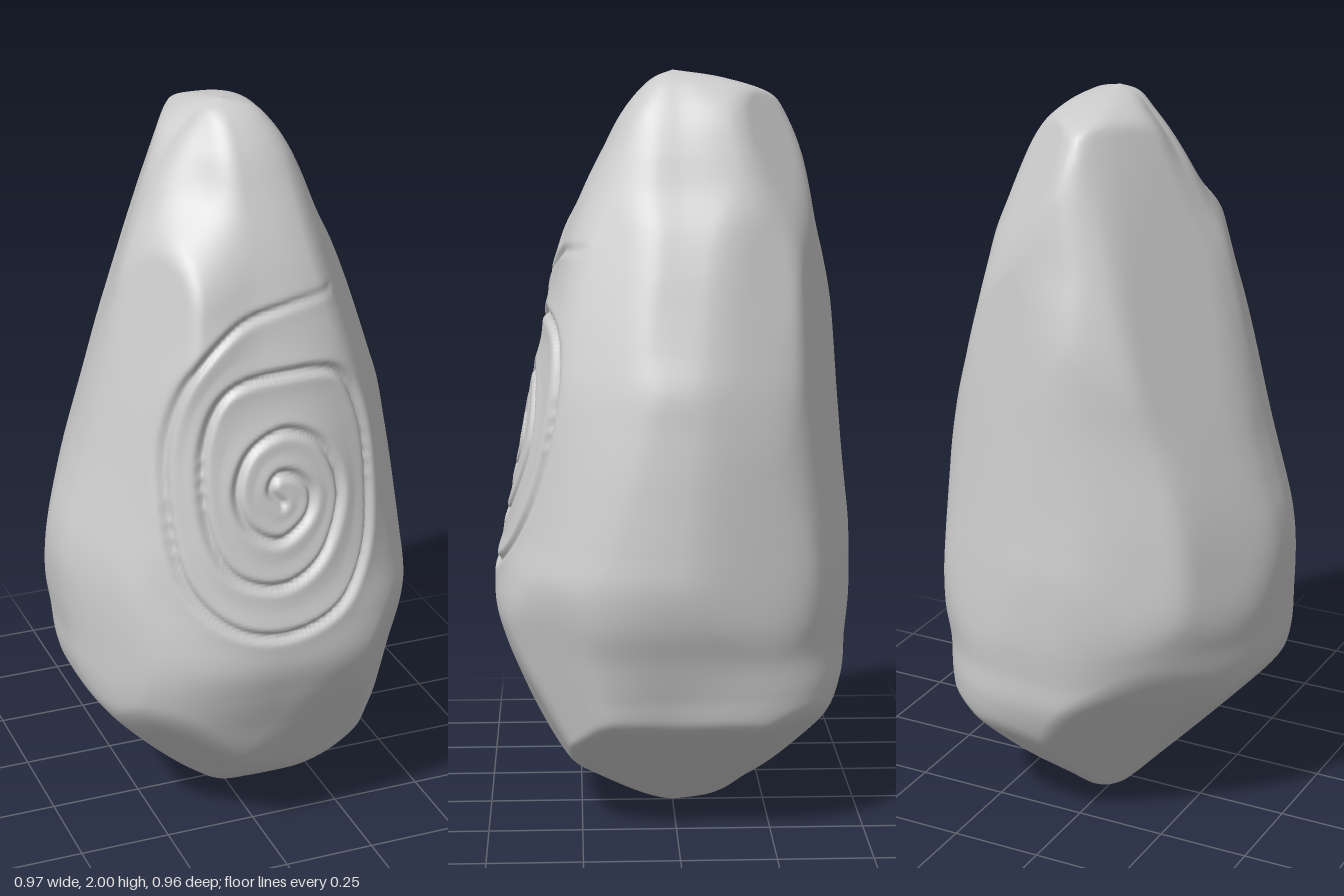
import * as THREE from 'three';

// Stone sections: y, left extent (-x), right extent (+x), back (-z), front (+z)
const SECTIONS = [
  [0, 0, 0, 0, 0], [0.03, 0.06, 0.06, 0.13, 0.08], [0.1, 0.13, 0.14, 0.22, 0.19],
  [0.2, 0.23, 0.26, 0.34, 0.32], [0.29, 0.32, 0.365, 0.41, 0.38], [0.4, 0.42, 0.4, 0.455, 0.42],
  [0.5, 0.46, 0.43, 0.465, 0.455], [0.6, 0.47, 0.465, 0.475, 0.48], [0.7, 0.482, 0.482, 0.477, 0.472],
  [0.8, 0.485, 0.477, 0.475, 0.45], [0.9, 0.47, 0.468, 0.465, 0.43], [1.0, 0.44, 0.458, 0.455, 0.41],
  [1.1, 0.41, 0.445, 0.447, 0.392], [1.2, 0.385, 0.43, 0.44, 0.372], [1.3, 0.36, 0.395, 0.434, 0.35],
  [1.4, 0.335, 0.362, 0.425, 0.328], [1.5, 0.31, 0.33, 0.405, 0.3], [1.6, 0.285, 0.292, 0.38, 0.272],
  [1.7, 0.24, 0.242, 0.36, 0.232], [1.8, 0.192, 0.203, 0.337, 0.182], [1.88, 0.14, 0.165, 0.305, 0.14],
  [1.94, 0.09, 0.125, 0.255, 0.095], [1.98, 0.05, 0.08, 0.13, 0.05], [2, 0, 0, 0, 0],
];
const sectionSpline = new THREE.CubicInterpolant(
  SECTIONS.map((_, i) => i), SECTIONS.flat(), 5, new Float32Array(5));

// Bulges and hollows between the axes: y, then front +x, back +x, back -x, front -x
const BULGES = [
  [0, 0, 0, 0, 0], [0.1, 0.05, 0.03, -0.01, 0.01], [0.2, 0.08, 0.05, -0.045, 0.02],
  [0.35, 0.07, 0.05, -0.06, 0.03], [0.5, 0.04, 0.02, -0.035, 0.02], [0.75, 0.015, 0, 0.01, 0],
  [1.25, 0.005, -0.005, 0, 0.01], [1.55, 0, 0.015, 0.02, 0.035], [1.78, 0, 0.01, 0.025, -0.045],
  [1.9, 0, 0.015, 0.05, -0.03], [2, 0, 0, 0, 0],
];
const bulgeSpline = new THREE.CubicInterpolant(
  BULGES.map(b => b[0]), BULGES.flatMap(b => b.slice(1)), 4, new Float32Array(4));

// Worn facets: azimuth in degrees from the front, height, upward tilt, cut depth
const FACETS = [
  [50, 0.46, -0.25, 0.022], [14, 0.38, -0.5, 0.012], [-40, 0.36, -0.8, 0.025], [90, 0.17, -1.2, 0.008],
  [130, 0.22, -1, 0.01], [170, 0.2, -1, 0.012], [-95, 0.28, -0.9, 0.012], [-138, 0.35, -0.7, 0.02],
  [60, 1.15, 0.22, 0.012], [58, 1.4, 0.35, 0.022], [112, 0.85, 0.05, 0.014], [115, 1.35, 0.25, 0.01],
  [158, 1.0, 0.12, 0.014], [-62, 1.05, 0.25, 0.012], [-65, 0.72, 0, 0.01], [-114, 0.85, 0.12, 0.028],
  [-112, 1.2, 0.3, 0.02], [-152, 0.75, 0.1, 0.012], [-145, 1.45, 0.3, 0.03], [140, 1.78, 0.45, 0.018],
  [-122, 1.75, 0.4, 0.02],
];

// Carved line as seen from the front, from the outer end to the middle
const CARVING = [
  [0.2, 1.545], [0.07, 1.53], [-0.08, 1.49], [-0.2, 1.38], [-0.26, 1.22], [-0.275, 1.05], [-0.25, 0.85],
  [-0.15, 0.73], [0, 0.69], [0.16, 0.735], [0.25, 0.85], [0.28, 1.0], [0.27, 1.2], [0.2, 1.34],
  [0.05, 1.365], [-0.11, 1.335], [-0.18, 1.2], [-0.185, 1.0], [-0.13, 0.865], [0, 0.82], [0.12, 0.88],
  [0.185, 1.03], [0.14, 1.165], [0.04, 1.22], [-0.06, 1.18], [-0.105, 1.08], [-0.08, 0.985], [0, 0.94],
  [0.08, 0.985], [0.1, 1.05], [0.06, 1.1], [0.01, 1.11], [-0.015, 1.075], [0.015, 1.035],
];
const carvedPoints = new THREE.SplineCurve(CARVING.map(p => new THREE.Vector2(...p))).getPoints(600);

// Radius of the rounded section at an azimuth; sections get squarer higher up
function sectionRadius([y, left, right, back, front], a) {
  const s = Math.sin(a), c = Math.cos(a);
  const n = 2.2 + 0.7 * THREE.MathUtils.smoothstep(y, 1.15, 1.6);
  const rx = Math.max(s > 0 ? right : left, 1e-5);
  const rz = Math.max(c > 0 ? front : back, 1e-5);
  const round = Math.pow(Math.pow(Math.abs(s) / rx, n) + Math.pow(Math.abs(c) / rz, n), -1 / n);
  const quadrant = s > 0 ? (c > 0 ? 0 : 1) : (c > 0 ? 3 : 2);
  const bulge = bulgeSpline.evaluate(y)[quadrant] * Math.sin(2 * a) ** 2;
  return Math.max(round + bulge, round * 0.6);
}

function softMin(a, b, k) {
  const h = Math.max(k - Math.abs(a - b), 0) / k;
  return Math.min(a, b) - h * h * k * 0.25;
}

// Each facet becomes a plane set slightly inside the rounded stone
const planes = FACETS.map(([deg, y, tilt, depth]) => {
  const a = THREE.MathUtils.degToRad(deg);
  const i = SECTIONS.findIndex(s => s[0] >= y);
  const t = (y - SECTIONS[i - 1][0]) / (SECTIONS[i][0] - SECTIONS[i - 1][0]);
  const section = SECTIONS[i].map((v, k) => THREE.MathUtils.lerp(SECTIONS[i - 1][k], v, t));
  return { a, y, tilt, r: sectionRadius(section, a) - depth };
});

function stoneRadius(section, a) {
  let r = sectionRadius(section, a);
  const k = Math.min(0.025, r * 0.3);
  for (const p of planes) {
    const c = Math.cos(a - p.a);
    if (c < 0.3) continue;
    const cut = (p.r + p.tilt * (p.y - section[0])) / c;
    if (cut > 0) r = softMin(r, cut, k);
  }
  return r;
}

// Groove with softly raised shoulders, fading at the outer end
function carvingDepth(x, y) {
  if (Math.abs(x) > 0.36 || y < 0.6 || y > 1.65) return 0;
  let best = Infinity, at = 0;
  carvedPoints.forEach((p, i) => {
    const d = (p.x - x) ** 2 + (p.y - y) ** 2;
    if (d < best) { best = d; at = i; }
  });
  const fade = Math.min(1, 0.2 + at / 50);
  return fade * (0.02 * Math.exp(-best / 0.00013) - 0.006 * Math.exp(-best / 0.0016));
}

function stoneGeometry() {
  const cols = 264, rows = (SECTIONS.length - 1) * 11;
  const positions = [], index = [];
  for (let i = 0; i <= rows; i++) {
    const section = Array.from(sectionSpline.evaluate(i / 11), v => Math.max(v, 0));
    for (let j = 0; j < cols; j++) {
      // Columns gather towards the carved front
      const t = (j / cols) * Math.PI * 2;
      const a = t - 0.55 * Math.sin(t);
      let r = stoneRadius(section, a);
      if (Math.cos(a) > 0.3) r -= carvingDepth(r * Math.sin(a), section[0]);
      positions.push(r * Math.sin(a), section[0], r * Math.cos(a));
      if (i < rows) {
        const p = i * cols + j, q = i * cols + (j + 1) % cols;
        index.push(p, q, q + cols, p, q + cols, p + cols);
      }
    }
  }
  const geometry = new THREE.BufferGeometry();
  geometry.setAttribute('position', new THREE.Float32BufferAttribute(positions, 3));
  geometry.setIndex(index);
  geometry.computeVertexNormals();
  return geometry;
}

export function createModel() {
  const group = new THREE.Group();
  group.name = 'carvedStone';
  const stone = new THREE.Mesh(stoneGeometry(), new THREE.MeshStandardMaterial({ color: 0xcccccc }));
  stone.name = 'stoneWithSpiralCarving';
  group.add(stone);
  return group;
}
